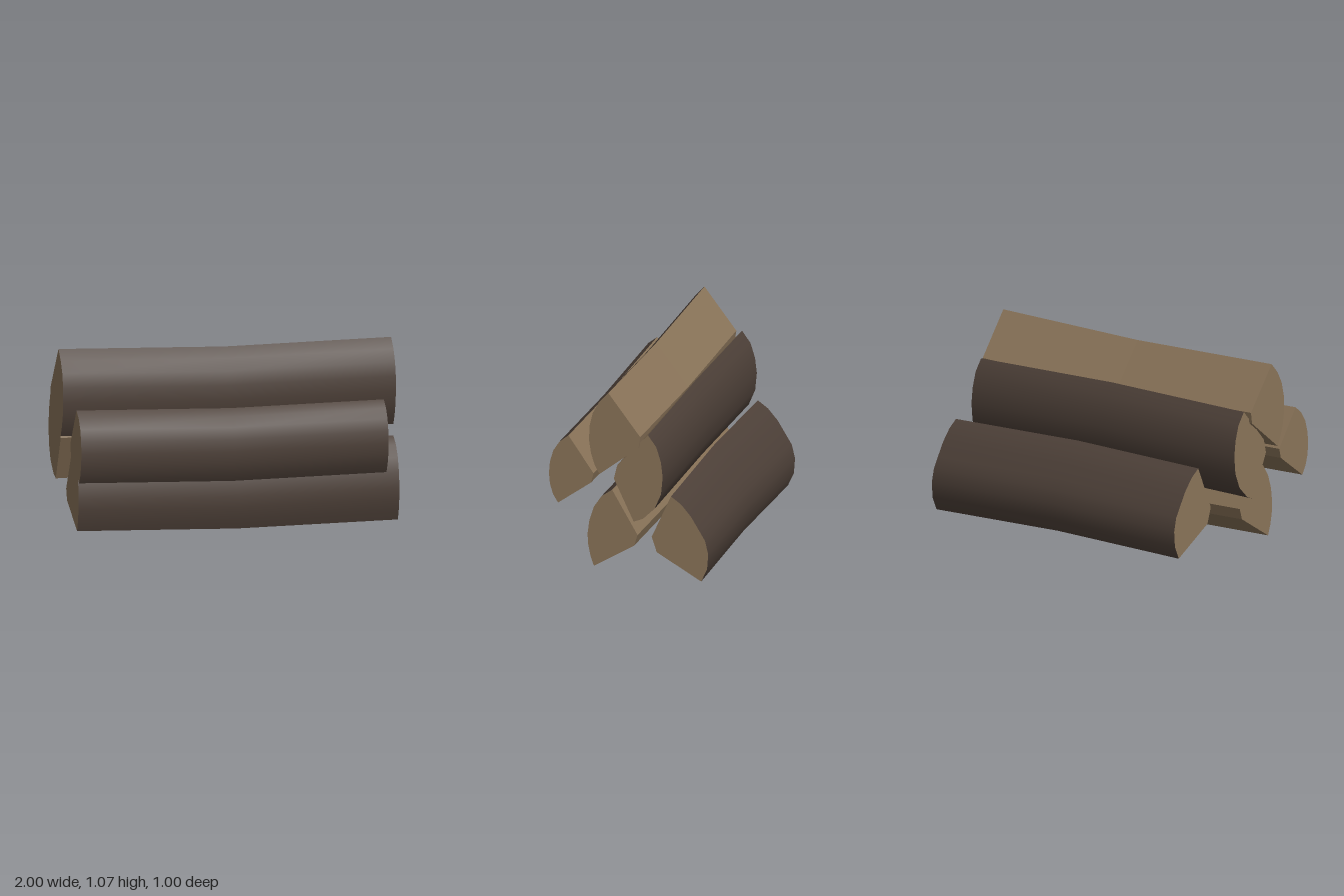
import * as THREE from 'three';

const bark = new THREE.MeshStandardMaterial({ color: 0x4d4038 });
bark.name = 'bark';
const wood = new THREE.MeshStandardMaterial({ color: 0x8a7459 });
wood.name = 'split wood';

// Each section lists [z, y]: eight points along the bark from top to bottom, then the two blunt heart corners.
// bend is the [z, y] shift of the middle of the log.
const BARK_POINTS = 8;
const logs = [
  { name: 'topLog', x: [-1, 0.96], bend: [0.002, -0.02], section: [
    [0.11, 1.075], [0.165, 1.015], [0.203, 0.945], [0.222, 0.865], [0.225, 0.78], [0.213, 0.70], [0.192, 0.635], [0.163, 0.58],
    [-0.07, 0.76], [-0.08, 0.826]] },
  { name: 'upperFrontLog', x: [-0.96, 0.85], bend: [0.002, -0.018], section: [
    [0.38, 0.757], [0.433, 0.715], [0.47, 0.658], [0.49, 0.59], [0.496, 0.52], [0.49, 0.455], [0.472, 0.395], [0.442, 0.345],
    [0.245, 0.485], [0.23, 0.542]] },
  { name: 'lowerFrontLog', x: [-0.91, 0.98], bend: [0.002, -0.018], section: [
    [0.082, 0.50], [0.145, 0.455], [0.19, 0.388], [0.217, 0.305], [0.228, 0.22], [0.224, 0.155], [0.211, 0.09], [0.19, 0.03],
    [-0.05, 0.175], [-0.07, 0.24]] },
  { name: 'middleLog', x: [-0.98, 0.94], bend: [-0.005, 0.018], section: [
    [-0.12, 0.836], [-0.17, 0.767], [-0.197, 0.68], [-0.208, 0.59], [-0.198, 0.485], [-0.16, 0.395], [-0.09, 0.327], [-0.035, 0.305],
    [0.083, 0.555], [0.063, 0.636]] },
  { name: 'backLog', x: [-0.77, 1], bend: [0.004, 0.018], section: [
    [-0.275, 0.50], [-0.335, 0.457], [-0.393, 0.39], [-0.442, 0.31], [-0.478, 0.25], [-0.497, 0.17], [-0.49, 0.08], [-0.455, 0.003],
    [-0.19, 0.155], [-0.16, 0.245]] },
];

// Builds a geometry from points and triangles, smooth or faceted
function surface(points, triangles, smooth, flip) {
  const index = triangles.flatMap(([a, b, c]) => (flip ? [a, c, b] : [a, b, c]));
  let geometry = new THREE.BufferGeometry();
  geometry.setAttribute('position', new THREE.Float32BufferAttribute(points.flat(), 3));
  geometry.setIndex(index);
  if (!smooth) geometry = geometry.toNonIndexed();
  geometry.computeVertexNormals();
  return geometry;
}

function createLog({ name, x: [x0, x1], bend, section }) {
  const n = section.length;
  const flip = section[3][0] < section[n - 1][0]; // bark faces backwards

  // Three cross-sections: left end, bent middle, right end
  const points = [];
  [[x0, 0], [(x0 + x1) / 2, 1], [x1, 0]].forEach(([x, k]) => {
    section.forEach(([z, y]) => points.push([x, y + bend[1] * k, z + bend[0] * k]));
  });

  const barkFaces = [];
  const woodFaces = [];
  for (let r = 0; r < 2; r++) {
    for (let i = 0; i < n; i++) {
      const a = r * n + i;
      const b = r * n + ((i + 1) % n);
      const list = i < BARK_POINTS - 1 ? barkFaces : woodFaces;
      list.push([a, b, a + n], [b, b + n, a + n]);
    }
  }

  // Sawn ends
  for (let i = 1; i < n - 1; i++) {
    woodFaces.push([0, i + 1, i], [2 * n, 2 * n + i, 2 * n + i + 1]);
  }

  const log = new THREE.Group();
  log.name = name;
  const barkMesh = new THREE.Mesh(surface(points, barkFaces, true, flip), bark);
  barkMesh.name = name + 'Bark';
  const woodMesh = new THREE.Mesh(surface(points, woodFaces, false, flip), wood);
  woodMesh.name = name + 'SplitWood';
  log.add(barkMesh, woodMesh);
  return log;
}

export function createModel() {
  const pile = new THREE.Group();
  pile.name = 'firewoodPile';
  logs.forEach((log) => pile.add(createLog(log)));
  return pile;
}
